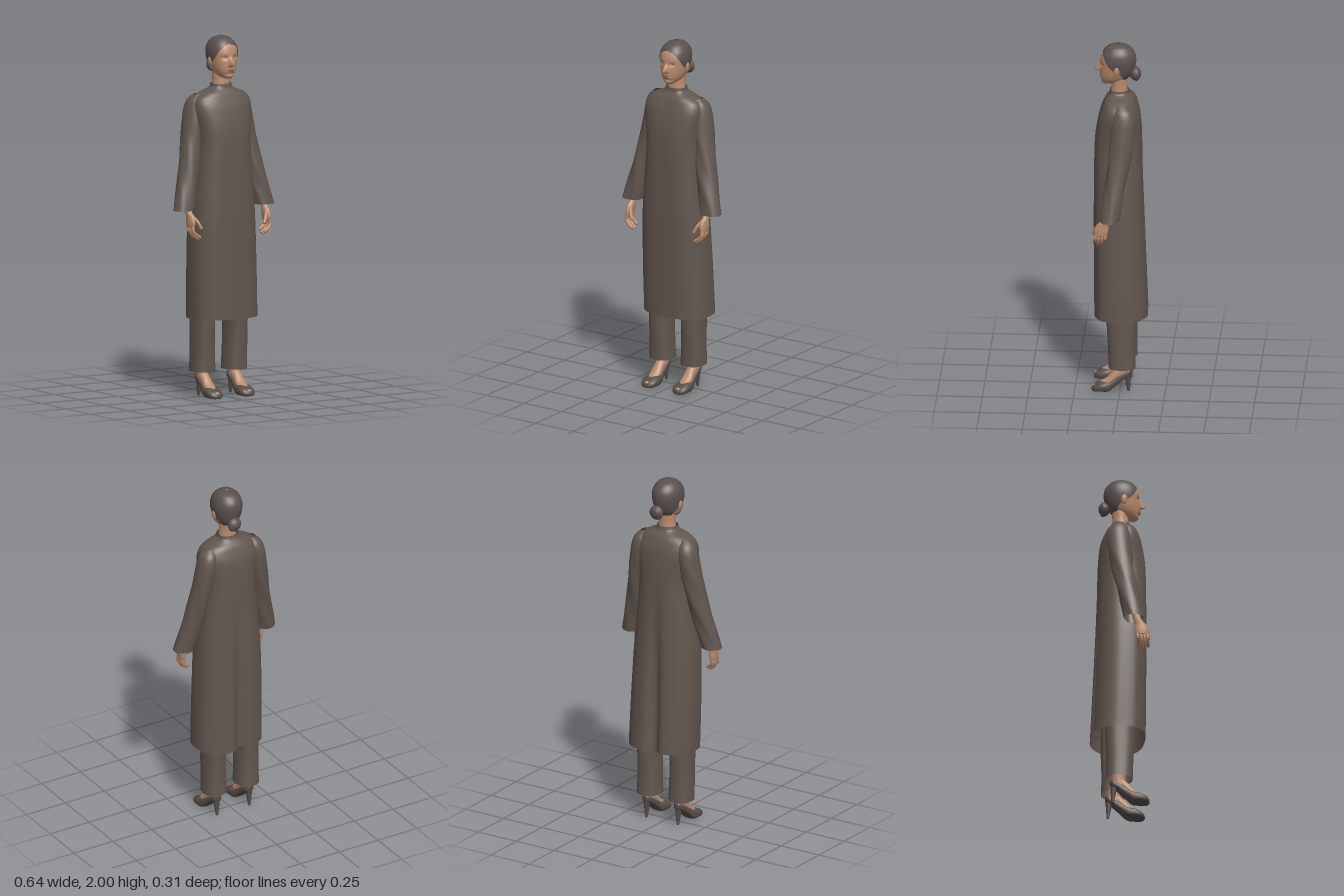
import * as THREE from 'three';

const mat = (name, color, side = THREE.FrontSide) => {
  const m = new THREE.MeshStandardMaterial({ color, side });
  m.name = name;
  return m;
};
const cloth = mat('cloth', 0x62564f, THREE.DoubleSide);
const hairMat = mat('hair', 0x5a514e, THREE.DoubleSide);
const skin = mat('skin', 0xb88a6d);
const shoeMat = mat('shoe leather', 0x574d49);
const lipMat = mat('lips', 0x8c5a4c);
const eyeMat = mat('eyes and brows', 0x4a3831);

const gauss = (d, w) => Math.exp(-((d / w) ** 2));
const ramp = (a, b, v) => THREE.MathUtils.smoothstep(v, a, b);
const spow = (v, n) => Math.sign(v) * Math.abs(v) ** (2 / n);

// Smooth cubic sampling of a table of rows
function sample(rows, u) {
  const k = Math.min(Math.floor(u), rows.length - 2), f = u - k;
  const at = i => rows[THREE.MathUtils.clamp(i, 0, rows.length - 1)];
  const [a, b, c, d] = [at(k - 1), at(k), at(k + 1), at(k + 2)];
  return b.map((_, i) => 0.5 * (2 * b[i] + (c[i] - a[i]) * f
    + (2 * a[i] - 5 * b[i] + 4 * c[i] - d[i]) * f * f
    + (3 * b[i] - a[i] - 3 * c[i] + d[i]) * f * f * f));
}

// Skin over cross-sections [t, x0, x1, v0, v1]; t rises along y, or along z if alongZ
function loft(rows, { seg = 40, sub = 5, nf = 2, nb = 2, caps = true, arc, deform, alongZ = false } = {}) {
  const pos = [], idx = [], count = (rows.length - 1) * sub + 1;
  const cols = arc ? seg + 1 : seg;
  const tri = (a, b, c) => (alongZ ? idx.push(a, c, b) : idx.push(a, b, c));
  const put = (x, t, v) => (alongZ ? pos.push(x, v, t) : pos.push(x, t, v));
  for (let i = 0; i < count; i++) {
    const [t, x0, x1, v0, v1] = sample(rows, i / sub);
    const start = arc ? arc(t) : 0;
    for (let j = 0; j < cols; j++) {
      const a = start + (j / seg) * 2 * (Math.PI - start);
      const c = Math.cos(a), n = c > 0 ? nf : nb;
      const p = {
        x: (x0 + x1) / 2 + Math.abs(x1 - x0) / 2 * spow(Math.sin(a), n),
        t, v: (v0 + v1) / 2 + (v1 - v0) / 2 * spow(c, n),
      };
      if (deform) deform(p, c, a);
      put(p.x, p.t, p.v);
    }
  }
  for (let i = 0; i < count - 1; i++) for (let j = 0; j < seg; j++) {
    const a = i * cols + j, b = i * cols + (j + 1) % cols;
    tri(a, b, b + cols);
    tri(a, b + cols, a + cols);
  }
  if (caps) for (const [row, base] of [[rows[0], 0], [rows.at(-1), (count - 1) * cols]]) {
    const m = pos.length / 3;
    put((row[1] + row[2]) / 2, row[0], (row[3] + row[4]) / 2);
    for (let j = 0; j < seg; j++) {
      const a = base + j, b = base + (j + 1) % cols;
      base ? tri(a, b, m) : tri(b, a, m);
    }
  }
  const g = new THREE.BufferGeometry();
  g.setAttribute('position', new THREE.Float32BufferAttribute(pos, 3));
  g.setIndex(idx);
  g.computeVertexNormals();
  return g;
}

export function createModel() {
  const model = new THREE.Group();
  model.name = 'standing woman';
  const add = (name, geo, material, parent = model) => {
    const m = new THREE.Mesh(geo, material);
    m.name = name;
    parent.add(m);
    return m;
  };
  const blob = (name, material, p, s, parent) => {
    const m = add(name, new THREE.SphereGeometry(1, 24, 16), material, parent);
    m.position.set(...p);
    m.scale.set(...s);
    return m;
  };

  // Long tunic: flat front, two soft folds down the back
  add('tunic', loft([
    [0.435, -0.178, 0.22, -0.157, 0.145], [0.7, -0.184, 0.212, -0.145, 0.146],
    [1.0, -0.182, 0.198, -0.132, 0.149], [1.25, -0.163, 0.178, -0.122, 0.147],
    [1.4, -0.152, 0.166, -0.118, 0.145], [1.5, -0.16, 0.17, -0.114, 0.138],
    [1.6, -0.176, 0.183, -0.104, 0.118], [1.655, -0.165, 0.172, -0.086, 0.098],
    [1.685, -0.125, 0.135, -0.072, 0.084], [1.7, -0.088, 0.1, -0.058, 0.072],
    [1.715, -0.056, 0.07, -0.047, 0.064], [1.735, -0.05, 0.064, -0.041, 0.06],
  ], {
    seg: 96, sub: 6, nf: 2.7, nb: 2.3, caps: false,
    deform(p, c, a) {
      const low = 1 - ramp(0.6, 1.55, p.t);
      if (c < 0) p.v += 0.045 * low * gauss(p.x - 0.005, 0.035) * -c;
      p.v += 0.004 * low * Math.sin(9 * a) * (1 - Math.abs(c));
    },
  }), cloth);

  // Neck, and head with nose, sockets and cheeks pushed out of the surface
  add('neck', loft([
    [1.66, -0.045, 0.06, -0.04, 0.055], [1.73, -0.042, 0.057, -0.037, 0.055],
    [1.77, -0.04, 0.055, -0.036, 0.052], [1.84, -0.042, 0.057, -0.04, 0.055],
  ]), skin);
  const cx = 0.008;
  const skull = [
    [1.768, 0.018, 0.045, 0.1], [1.778, 0.034, 0, 0.108], [1.8, 0.053, -0.035, 0.113],
    [1.83, 0.066, -0.06, 0.115], [1.87, 0.075, -0.075, 0.114], [1.91, 0.079, -0.08, 0.113],
    [1.95, 0.072, -0.072, 0.1], [1.98, 0.05, -0.045, 0.072], [1.994, 0.023, -0.01, 0.038],
    [1.998, 0.003, 0.01, 0.018],
  ];
  const ring = (grow, lift) => ([y, w, b, f]) =>
    [y + (y > 1.96 ? lift : 0), cx - w - grow, cx + w + grow, b - grow, f + grow];
  const head = new THREE.Group();
  head.name = 'head';
  model.add(head);
  add('face', loft(skull.map(ring(0, -0.005)), {
    seg: 120, sub: 9, nf: 2.2,
    deform(p, c) {
      if (c <= 0) return;
      const x = p.x - cx, y = p.t;
      p.v += 0.032 * gauss(x, 0.011) * ramp(0.0, 1, (1.9 - y) / 0.052) * ramp(1.834, 1.846, y);
      p.v -= 0.009 * gauss(Math.abs(x) - 0.032, 0.016) * gauss(y - 1.885, 0.012);
      p.v -= 0.005 * gauss(x, 0.03) * gauss(y - 1.795, 0.007);
    },
  }), skin, head);

  // Hair cap follows the skull behind a curved hairline
  const line = [[1.79, 2.45], [1.83, 1.95], [1.86, 1.4], [1.88, 1.15], [1.9, 0.98],
    [1.93, 0.72], [1.95, 0.4], [1.96, 0]];
  const hairline = y => {
    if (y >= 1.96) return 0;
    const i = Math.max(1, line.findIndex(l => l[0] > y));
    const [a, b] = [line[i - 1], line[i]];
    return THREE.MathUtils.lerp(a[1], b[1], THREE.MathUtils.clamp((y - a[0]) / (b[0] - a[0]), 0, 1));
  };
  add('hair cap', loft(skull.slice(2).map(ring(0.004, 0.002)),
    { seg: 80, sub: 9, nf: 2.2, caps: false, arc: hairline }), hairMat, head);
  blob('bun', hairMat, [0.018, 1.83, -0.08], [0.038, 0.038, 0.032], head);
  const coil = add('bun coil', new THREE.TorusGeometry(0.026, 0.015, 12, 28), hairMat, head);
  coil.position.set(0.018, 1.828, -0.085);

  // Facial details
  blob('upper lip', lipMat, [cx, 1.817, 0.114], [0.02, 0.0045, 0.005], head);
  blob('lower lip', lipMat, [cx, 1.81, 0.113], [0.017, 0.005, 0.006], head);
  for (const s of [-1, 1]) {
    blob('eye', eyeMat, [cx + s * 0.032, 1.885, 0.0945], [0.012, 0.0035, 0.0045], head).rotation.y = s * 0.35;
    blob('brow', eyeMat, [cx + s * 0.033, 1.902, 0.1], [0.016, 0.002, 0.003], head).rotation.y = s * 0.4;
    blob('ear', skin, [cx + s * 0.079, 1.858, 0.02], [0.008, 0.028, 0.016], head).rotation.z = -s * 0.15;
  }

  for (const s of [-1, 1]) {
    const side = s > 0 ? 'left' : 'right';
    // Rows written for the outward direction, then mirrored
    const flip = (rows, shift) => rows.map(([t, a, b, c, d]) => [t, s * a + shift, s * b + shift, c, d]);

    // Wide sleeve
    add(side + ' sleeve', loft(flip([
      [1.05, 0.2, 0.318, -0.004, 0.1], [1.15, 0.175, 0.294, -0.02, 0.088],
      [1.27, 0.147, 0.264, -0.042, 0.074], [1.4, 0.125, 0.238, -0.066, 0.058],
      [1.52, 0.105, 0.218, -0.082, 0.05], [1.6, 0.095, 0.204, -0.084, 0.043],
      [1.65, 0.095, 0.186, -0.07, 0.035], [1.68, 0.105, 0.155, -0.04, 0.018],
    ], s > 0 ? 0.006 : 0), {
      seg: 48, caps: false,
      deform(p, c, a) { p.v += 0.003 * Math.sin(4 * a + p.t * 22) * (1 - ramp(1.4, 1.6, p.t)); },
    }), cloth);

    // Hand with curled fingers
    const hand = new THREE.Group();
    hand.name = side + ' hand';
    model.add(hand);
    add('palm', loft(flip([
      [0.96, 0.232, 0.262, 0.062, 0.13], [0.985, 0.23, 0.264, 0.056, 0.135],
      [1.02, 0.228, 0.264, 0.054, 0.122], [1.05, 0.23, 0.265, 0.048, 0.095],
      [1.12, 0.225, 0.265, 0.03, 0.076],
    ], 0.004), { seg: 28 }), skin, hand);
    const finger = (name, pts, r) => {
      const path = pts.map(([x, y, z]) => new THREE.Vector3(s * x + 0.004, y, z));
      add(name, new THREE.TubeGeometry(new THREE.CatmullRomCurve3(path), 12, r, 10), skin, hand);
      blob(name + ' tip', skin, path.at(-1).toArray(), [r, r, r], hand);
    };
    [[0.07, 0.915], [0.088, 0.9], [0.106, 0.898], [0.123, 0.908]].forEach(([z, tip], i) =>
      finger('finger ' + (i + 1), [[0.247, 0.975, z], [0.25, 0.942, z + 0.004],
        [0.236, tip + 0.016, z + 0.008], [0.214, tip, z + 0.012]], 0.0088));
    finger('thumb', [[0.24, 1.02, 0.105], [0.222, 0.99, 0.128], [0.207, 0.958, 0.138]], 0.0095);

    // Trouser leg
    const lx = s > 0 ? 0.008 : 0;
    add(side + ' trouser leg', loft(flip([
      [0.14, 0.033, 0.166, -0.086, 0.062], [0.26, 0.038, 0.164, -0.083, 0.066],
      [0.43, 0.042, 0.163, -0.088, 0.075], [0.7, 0.015, 0.163, -0.09, 0.085],
      [1.0, 0.01, 0.155, -0.09, 0.09],
    ], lx), { seg: 40, nf: 2.4, nb: 2.4, caps: false }), cloth);

    // Foot and high-heeled shoe
    const foot = new THREE.Group();
    foot.name = side + ' foot';
    foot.position.x = s * 0.1 + lx;
    model.add(foot);
    add('ankle', loft([
      [0.09, -0.027, 0.027, -0.05, 0.03], [0.15, -0.029, 0.029, -0.052, 0.022],
      [0.25, -0.036, 0.036, -0.055, 0.025],
    ], { seg: 24 }), skin, foot);
    add('instep', loft([
      [-0.045, -0.018, 0.018, 0.1, 0.14], [-0.01, -0.026, 0.026, 0.085, 0.155],
      [0.03, -0.029, 0.029, 0.045, 0.125], [0.07, -0.034, 0.034, 0.012, 0.08],
      [0.11, -0.03, 0.03, 0.008, 0.055],
    ], { seg: 24, alongZ: true }), skin, foot);
    add('shoe', loft([
      [-0.063, -0.01, 0.01, 0.1, 0.126], [-0.05, -0.026, 0.026, 0.088, 0.132],
      [-0.02, -0.031, 0.031, 0.07, 0.118], [0.02, -0.035, 0.035, 0.036, 0.092],
      [0.06, -0.044, 0.044, 0.003, 0.068], [0.1, -0.048, 0.048, 0, 0.058],
      [0.135, -0.041, 0.041, 0, 0.042], [0.151, -0.024, 0.024, 0.002, 0.027],
      [0.156, -0.008, 0.008, 0.006, 0.018],
    ], { seg: 32, nf: 2.3, nb: 3, alongZ: true }), shoeMat, foot);
    const heel = add('heel', new THREE.CylinderGeometry(0.021, 0.007, 0.108, 16), shoeMat, foot);
    heel.position.set(0, 0.054, -0.045);
    heel.rotation.x = 0.06;
    blob('toes', skin, [0, 0.03, 0.138], [0.016, 0.009, 0.014], foot);
  }
  return model;
}
